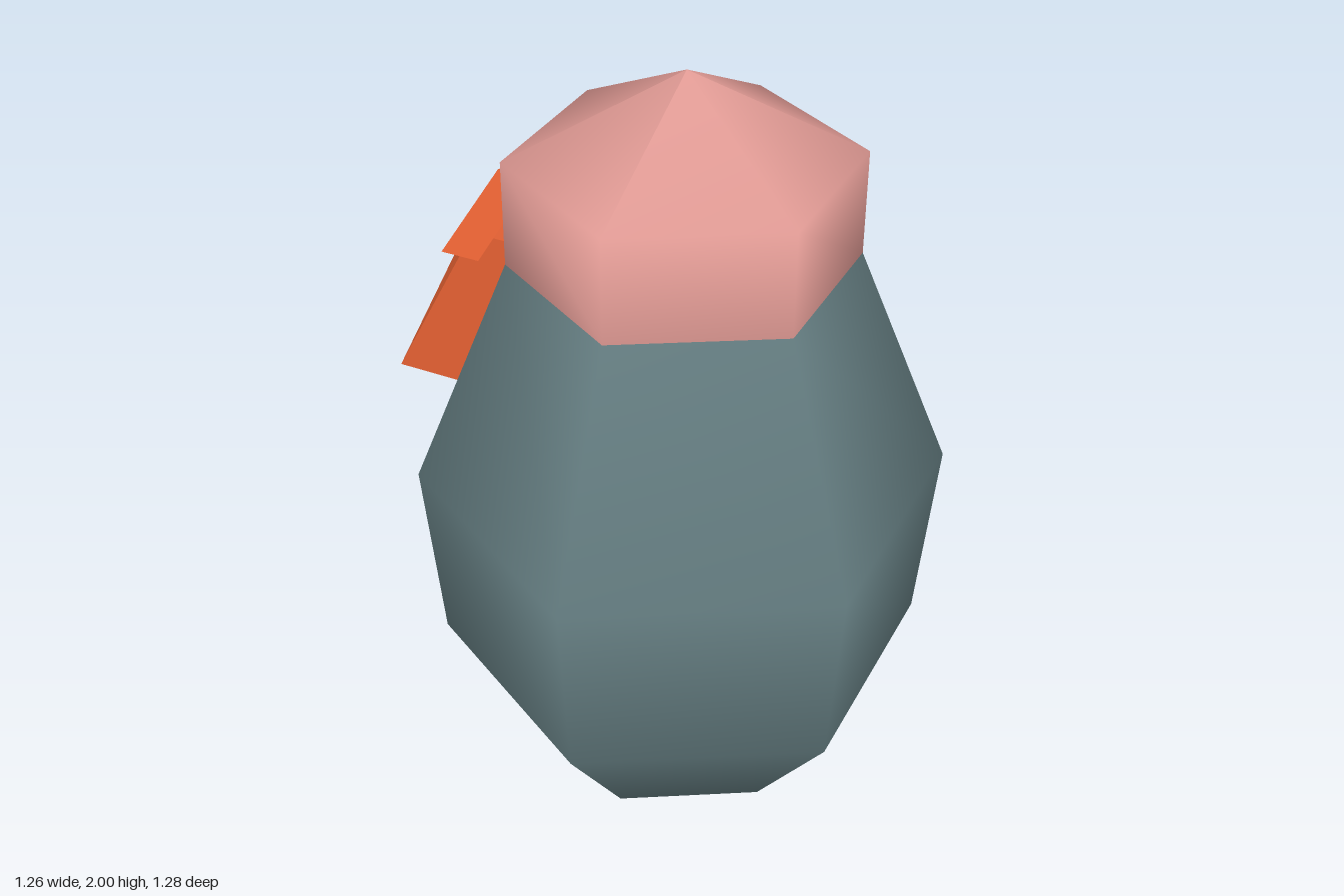
import * as THREE from 'three';
import { ConvexGeometry } from 'three/addons/geometries/ConvexGeometry.js';

const makeMaterial = (name, color) => {
  const m = new THREE.MeshStandardMaterial({ color });
  m.name = name;
  return m;
};

export function createModel() {
  const slate = makeMaterial('slate', 0x667f83);
  const pink = makeMaterial('pink', 0xe09a94);
  const orange = makeMaterial('orange', 0xdb5c30);
  const sheetOrange = orange;
  sheetOrange.side = THREE.DoubleSide;

  const group = new THREE.Group();
  const add = (name, geometry, material, x = 0) => {
    const mesh = new THREE.Mesh(geometry, material);
    mesh.name = name;
    mesh.position.x = x;
    group.add(mesh);
  };
  const sixSided = (profile) =>
    new THREE.LatheGeometry(profile.map(([r, y]) => new THREE.Vector2(r, y)), 6);

  // Six-sided smooth body and its cap
  add('body', sixSided([[0, 0], [0.35, 0.135], [0.6, 0.485], [0.64, 0.965], [0.405, 1.54]]), slate, 0.075);
  add('cap', sixSided([[0.405, 1.54], [0.405, 1.795], [0, 2]]), pink, 0.075);

  // Flared side box: a ridged section at the bottom and a smaller one at the top
  const section = (ridgeX, ridgeY, sideX, sideY, z, innerX) => [
    [ridgeX, ridgeY, 0], [innerX, ridgeY, 0],
    [sideX, sideY, z], [innerX, sideY, z],
    [sideX, sideY, -z], [innerX, sideY, -z],
  ];
  const boxPoints = [
    ...section(-0.635, 1.135, -0.56, 1.21, 0.235, -0.3),
    ...section(-0.44, 1.595, -0.387, 1.57, 0.157, -0.2),
  ].map((p) => new THREE.Vector3(...p));
  add('sideBox', new ConvexGeometry(boxPoints), orange);

  // Folded strip above the box: one thin slope on each side of the ridge
  for (const s of [1, -1]) {
    const a = [-0.405, 1.655, 0], b = [-0.405, 1.57, 0.26 * s];
    const c = [-0.31, 1.57, 0.26 * s], d = [-0.31, 1.655, 0];
    const corners = s > 0 ? [a, b, c, a, c, d] : [a, c, b, a, d, c];
    const slope = new THREE.BufferGeometry();
    slope.setAttribute('position', new THREE.Float32BufferAttribute(corners.flat(), 3));
    slope.computeVertexNormals();
    add(s > 0 ? 'frontStrip' : 'backStrip', slope, sheetOrange);
  }
  return group;
}
